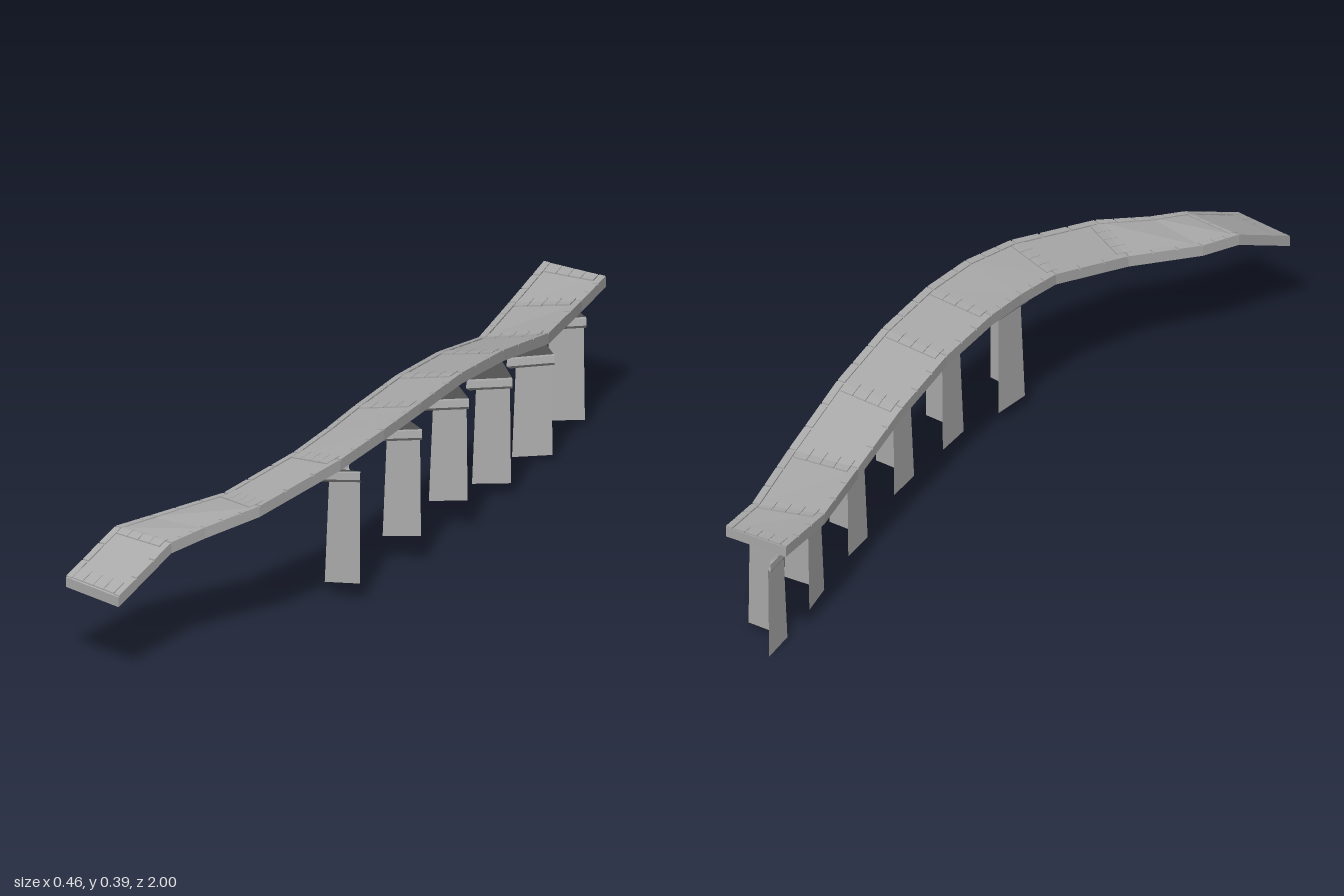
import * as THREE from 'three';

const material = new THREE.MeshStandardMaterial({ color: 0xaaaaaa, flatShading: true, side: THREE.DoubleSide });

// Deck stations from front to back: the two top edges as x, y, z
const stations = [
  { l: [-0.235, 0.205, 0.945], r: [-0.082, 0.2, 0.997] },
  { l: [-0.19, 0.275, 0.785], r: [-0.035, 0.275, 0.825] },
  { l: [-0.145, 0.278, 0.70], r: [0.01, 0.29, 0.745] },
  { l: [-0.037, 0.297, 0.55], r: [0.09, 0.315, 0.635] },
  { l: [0.037, 0.334, 0.345], r: [0.177, 0.358, 0.40] },
  { l: [0.053, 0.346, 0.21], r: [0.207, 0.378, 0.24] },
  { l: [0.06, 0.355, 0.08], r: [0.22, 0.387, 0.08] },
  { l: [0.063, 0.355, -0.13], r: [0.222, 0.386, -0.13] },
  { l: [0.06, 0.333, -0.35], r: [0.22, 0.363, -0.35] },
  { l: [0.056, 0.29, -0.57], r: [0.212, 0.315, -0.60] },
  { l: [0.026, 0.291, -0.79], r: [0.18, 0.303, -0.84] },
  { l: [0.013, 0.315, -1.0], r: [0.175, 0.314, -0.975] },
].map(s => ({ l: new THREE.Vector3(...s.l), r: new THREE.Vector3(...s.r) }));
const last = stations.length - 1;
const THICK = 0.023;

// Point on the deck: u across (0 left edge of the plan, 1 right), t along, h above
function deckPoint(u, t, h = 0) {
  const i = Math.min(Math.max(Math.floor(t), 0), last - 1), f = t - i;
  const l = stations[i].l.clone().lerp(stations[i + 1].l, f);
  const r = stations[i].r.clone().lerp(stations[i + 1].r, f);
  const p = l.lerp(r, u);
  p.y += h;
  return p;
}

// Station parameter at which the centre line crosses a given z
function paramAtZ(z) {
  let lo = 0, hi = last;
  for (let k = 0; k < 30; k++) {
    const mid = (lo + hi) / 2;
    if (deckPoint(0.5, mid).z > z) lo = mid; else hi = mid;
  }
  return lo;
}

// Surface through a row of rings with equal point counts; closed ones get end caps
function loft(rings, closed) {
  const pos = [], n = rings[0].length;
  const tri = (...pts) => pts.forEach(p => pos.push(p.x, p.y, p.z));
  for (let i = 0; i < rings.length - 1; i++) {
    for (let j = 0; j < (closed ? n : n - 1); j++) {
      const k = (j + 1) % n;
      const a = rings[i][j], b = rings[i][k], c = rings[i + 1][k], d = rings[i + 1][j];
      tri(a, b, c);
      tri(a, c, d);
    }
  }
  if (closed) {
    const first = rings[0], end = rings[rings.length - 1];
    for (let j = 1; j < n - 1; j++) {
      tri(first[0], first[j + 1], first[j]);
      tri(end[0], end[j], end[j + 1]);
    }
  }
  const g = new THREE.BufferGeometry();
  g.setAttribute('position', new THREE.Float32BufferAttribute(pos, 3));
  g.computeVertexNormals();
  return g;
}

function addMesh(parent, name, geometry) {
  const mesh = new THREE.Mesh(geometry, material);
  mesh.name = name;
  parent.add(mesh);
}

// Strip of the deck between two heights
function deckStrip(u0, u1, t0, t1, top, bottom) {
  const ts = [t0];
  for (let t = Math.floor(t0) + 1; t < t1; t++) ts.push(t);
  ts.push(t1);
  return loft(ts.map(t => [
    deckPoint(u1, t, top), deckPoint(u1, t, bottom),
    deckPoint(u0, t, bottom), deckPoint(u0, t, top),
  ]), true);
}

// Open pier: only its front and -x walls, running up through plate and capital
function createPier(z, footY) {
  const pier = new THREE.Group();
  pier.name = 'pier';
  const t = paramAtZ(z), c = deckPoint(0.5, t);
  const along = deckPoint(0.5, t + 0.2).sub(deckPoint(0.5, t - 0.2)).setY(0).normalize();
  const across = new THREE.Vector3(-along.z, 0, along.x);
  const ring = (y, hw, hd, slope) => [[-1, 1], [-1, -1], [1, -1]].map(([sx, sz]) => {
    const p = c.clone().addScaledVector(across, 0.03 + sx * hw).addScaledVector(along, sz * hd);
    p.y = y + sx * hw * slope;
    return p;
  });
  const plateTop = c.y - 0.056, plateBottom = c.y - 0.082;

  addMesh(pier, 'pierShaft', loft([ring(footY, 0.047, 0.049, 0.17), ring(plateBottom, 0.041, 0.041, 0.2)], false));
  addMesh(pier, 'pierPlate', loft([
    ring(plateBottom, 0.041, 0.041, 0.2), ring(plateBottom + 0.002, 0.052, 0.053, 0.2),
    ring(plateBottom + 0.01, 0.056, 0.062, 0.2), ring(plateTop, 0.055, 0.06, 0.2),
    ring(plateTop + 0.001, 0.05, 0.05, 0.2),
  ], false));
  const t0 = paramAtZ(z + 0.1), t1 = paramAtZ(z - 0.1);
  const under = -THICK + 0.002;
  addMesh(pier, 'pierCapital', loft([
    ring(plateTop, 0.05, 0.05, 0.2),
    [deckPoint(0.08, t1, under), deckPoint(0.08, t0, under), deckPoint(0.99, t0, under)],
  ], false));
  return pier;
}

export function createModel() {
  const model = new THREE.Group();
  model.name = 'bridge';

  addMesh(model, 'deck', deckStrip(0, 1, 0, last, 0, -THICK));

  // Kerb stones along both edges, with narrow joints
  const kerbs = new THREE.Group();
  kerbs.name = 'kerbStones';
  for (let i = 0; i < last; i++) {
    for (let k = 0; k < 3; k++) {
      const t0 = i + k / 3 + 0.012, t1 = i + (k + 1) / 3 - 0.012;
      for (const u of [0, 0.9]) addMesh(kerbs, 'kerbStone', deckStrip(u, u + 0.1, t0, t1, 0.003, -0.002));
    }
  }
  model.add(kerbs);

  // Bands of paving stones across the joints between spans
  const bands = new THREE.Group();
  bands.name = 'pavingBands';
  for (const t of [0.12, 1, 3, 4, 6, 7, 8, 9, 10, last - 0.12]) {
    for (let k = 0; k < 4; k++) {
      const u = 0.11 + k * 0.195;
      addMesh(bands, 'pavingStone', deckStrip(u, u + 0.187, t - 0.1, t + 0.1, 0.003, -0.002));
    }
  }
  model.add(bands);

  // Piers from front to back: z and height of the foot
  const piers = [[0.27, 0.038], [0.02, 0.064], [-0.215, 0.066], [-0.445, 0.026], [-0.675, 0.008], [-0.905, 0.009]];
  for (const [z, footY] of piers) model.add(createPier(z, footY));
  return model;
}
